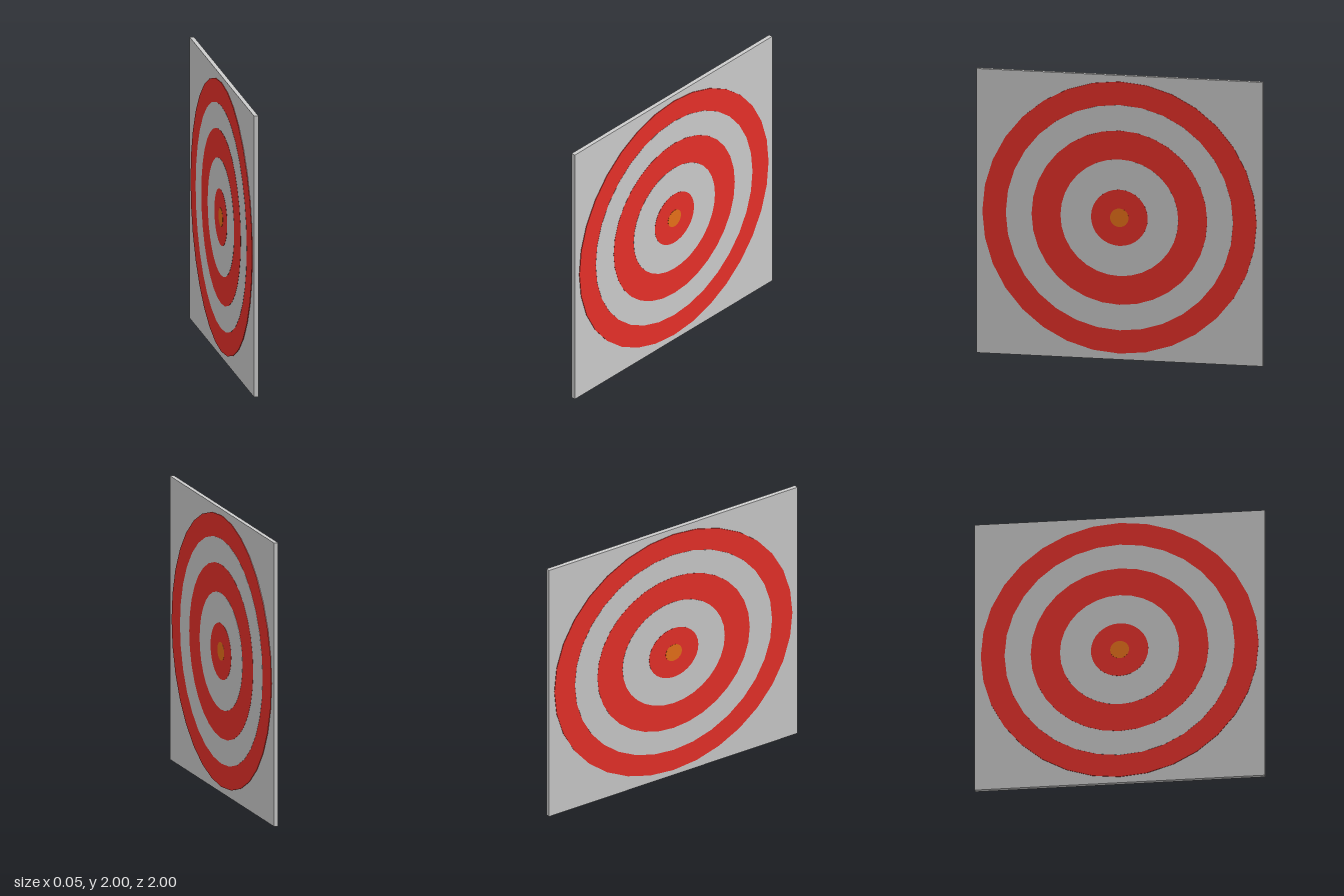
import * as THREE from 'three';

const grey = new THREE.MeshStandardMaterial({ color: 0xcccccc, flatShading: true });
const red = new THREE.MeshStandardMaterial({ color: 0xe73029, flatShading: true });
const orange = new THREE.MeshStandardMaterial({ color: 0xe77019, flatShading: true });

// [name, radius, half thickness, material]: each smaller disc stands slightly proud of the last
const discs = [
  ['outerRedRing', 0.957, 0.019, red],
  ['outerGreyRing', 0.793, 0.02, grey],
  ['middleRedRing', 0.613, 0.021, red],
  ['innerGreyRing', 0.411, 0.022, grey],
  ['innerRedRing', 0.198, 0.023, red],
  ['bullseye', 0.065, 0.024, orange],
];

export function createModel() {
  const group = new THREE.Group();
  group.name = 'target';

  // Square backing board
  const board = new THREE.Mesh(new THREE.BoxGeometry(0.03, 2, 2), grey);
  board.name = 'board';
  board.position.y = 1;
  group.add(board);

  // Concentric discs running through the board, showing on both faces
  for (const [name, radius, half, material] of discs) {
    const geometry = new THREE.CylinderGeometry(radius, radius, half * 2, 32);
    geometry.rotateZ(Math.PI / 2);
    const disc = new THREE.Mesh(geometry, material);
    disc.name = name;
    disc.position.y = 1;
    group.add(disc);
  }
  return group;
}
